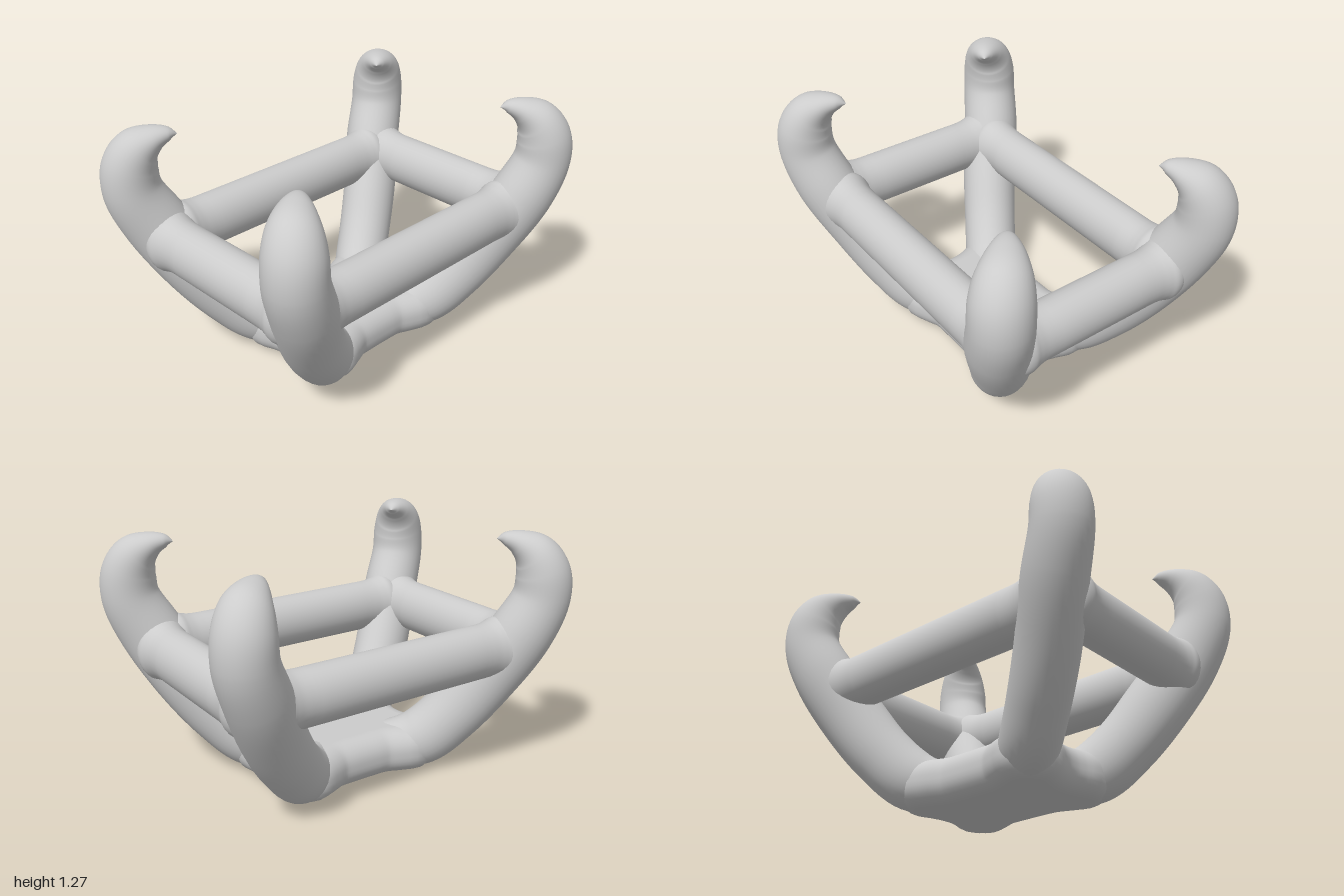
import * as THREE from 'three';
import { mergeVertices } from 'three/addons/utils/BufferGeometryUtils.js';

const material = new THREE.MeshStandardMaterial({ color: 0xcccccc });
const SIDES = 32;
const v3 = (x, y, z) => new THREE.Vector3(x, y, z);

// Sweeps an ellipse along points; sizes are [across, in-plane] radii per point.
// 'across' is the fixed horizontal axis of the ellipse. Nothing goes below the floor.
function sweep(points, sizes, across, steps) {
  const path = new THREE.CatmullRomCurve3(points);
  const radius = new THREE.CatmullRomCurve3(sizes.map(([a, b], i) => v3(a, b, i * 0.1)));
  const pos = [], index = [];
  for (let i = 0; i <= steps; i++) {
    const u = i / steps;
    const c = path.getPoint(u), t = path.getTangent(u), r = radius.getPoint(u);
    const n = t.clone().cross(across).normalize();
    for (let j = 0; j < SIDES; j++) {
      const a = (j / SIDES) * Math.PI * 2;
      const p = c.clone()
        .addScaledVector(across, Math.cos(a) * Math.max(r.x, 0))
        .addScaledVector(n, Math.sin(a) * Math.max(r.y, 0));
      pos.push(p.x, Math.max(p.y, 0), p.z);
      if (i < steps) {
        const k = (j + 1) % SIDES, q = i * SIDES;
        index.push(q + j, q + k, q + SIDES + j, q + k, q + SIDES + k, q + SIDES + j);
      }
    }
  }
  const geo = new THREE.BufferGeometry();
  geo.setAttribute('position', new THREE.Float32BufferAttribute(pos, 3));
  geo.setIndex(index);
  geo.computeVertexNormals();
  return geo;
}

// Claw arm: x, y, z of the centre line, then the across and in-plane radii
const ARM = [
  [0.06, 0.122, 0.10, 0.115, 0.115],
  [0.15, 0.125, 0.24, 0.125, 0.125],
  [0.25, 0.165, 0.375, 0.142, 0.155],
  [0.34, 0.30, 0.505, 0.146, 0.16],
  [0.433, 0.50, 0.638, 0.15, 0.168],
  [0.542, 0.75, 0.772, 0.152, 0.164],
  [0.590, 0.94, 0.852, 0.146, 0.146],
  [0.588, 1.07, 0.852, 0.141, 0.136],
  [0.555, 1.16, 0.817, 0.122, 0.112],
  [0.50, 1.216, 0.757, 0.082, 0.064],
  [0.455, 1.234, 0.705, 0.04, 0.032],
  [0.43, 1.232, 0.676, 0, 0],
];

function arm(sx, sz) {
  const across = v3(sx * 0.57, 0, sz * 0.82).cross(v3(0, 1, 0)).normalize();
  return sweep(
    ARM.map(([x, y, z]) => v3(sx * x, y, sz * z)),
    ARM.map((p) => [p[3], p[4]]), across, 88);
}

// Straight rail that flares where it meets the arms and closes up inside them
function rail(from, to, across) {
  const half = from.distanceTo(to) / 2;
  const mid = from.clone().add(to).multiplyScalar(0.5);
  const dir = to.clone().sub(from).normalize();
  const flare = [[0, 0.8], [0.04, 1.08], [0.08, 1.15], [0.115, 1.08], [0.155, 1.02], [0.2, 1], [0.25, 1]];
  const stations = [
    ...flare.map(([d, s]) => [d - half, s]),
    ...flare.map(([d, s]) => [half - d, s]).reverse(),
  ];
  return sweep(
    stations.map(([d]) => mid.clone().addScaledVector(dir, d)),
    stations.map(([, s]) => [0.1225 * s, 0.14 * s]), across, 52);
}

// Rounded base plate with notched ends and a narrow waist
function basePlate() {
  const bevel = 0.11, height = 0.245;
  const quarter = [[0.19, 0.07], [0.195, 0.16], [0.23, 0.25], [0.25, 0.325],
    [0.19, 0.375], [0.11, 0.352], [0.04, 0.336]];
  const flip = (sx, sz) => quarter.map(([x, z]) => v3(sx * x, sz * z, 0));
  const loop = [...flip(1, 1), ...flip(-1, 1).reverse(), ...flip(-1, -1), ...flip(1, -1).reverse()];
  const outline = new THREE.CatmullRomCurve3(loop, true).getPoints(96).slice(0, -1);
  const shape = new THREE.Shape(outline.map((p) => new THREE.Vector2(p.x, p.y)));
  let geo = new THREE.ExtrudeGeometry(shape, {
    depth: height - 2 * bevel, bevelThickness: bevel, bevelSize: bevel, bevelSegments: 8,
  });
  geo.deleteAttribute('normal');
  geo.deleteAttribute('uv');
  geo = mergeVertices(geo, 1e-4);
  geo.rotateX(-Math.PI / 2);
  geo.translate(0, bevel, 0);
  geo.computeVertexNormals();
  return geo;
}

export function createModel() {
  const model = new THREE.Group();
  model.name = 'clawSetting';
  const add = (name, geo) => {
    const mesh = new THREE.Mesh(geo, material);
    mesh.name = name;
    model.add(mesh);
  };

  add('basePlate', basePlate());

  for (const [sx, side] of [[1, 'Left'], [-1, 'Right']]) {
    // Claw arms at the four corners
    add(`front${side}Arm`, arm(sx, 1));
    add(`back${side}Arm`, arm(sx, -1));
    // Long rails
    add(`${side.toLowerCase()}Rail`, rail(v3(sx * 0.4925, 0.68, -0.735), v3(sx * 0.4925, 0.68, 0.735), v3(1, 0, 0)));
  }

  // Short rails
  for (const [sz, name] of [[1, 'frontRail'], [-1, 'backRail']]) {
    add(name, rail(v3(-0.51, 0.68, sz * 0.7575), v3(0.51, 0.68, sz * 0.7575), v3(0, 0, 1)));
  }
  return model;
}
